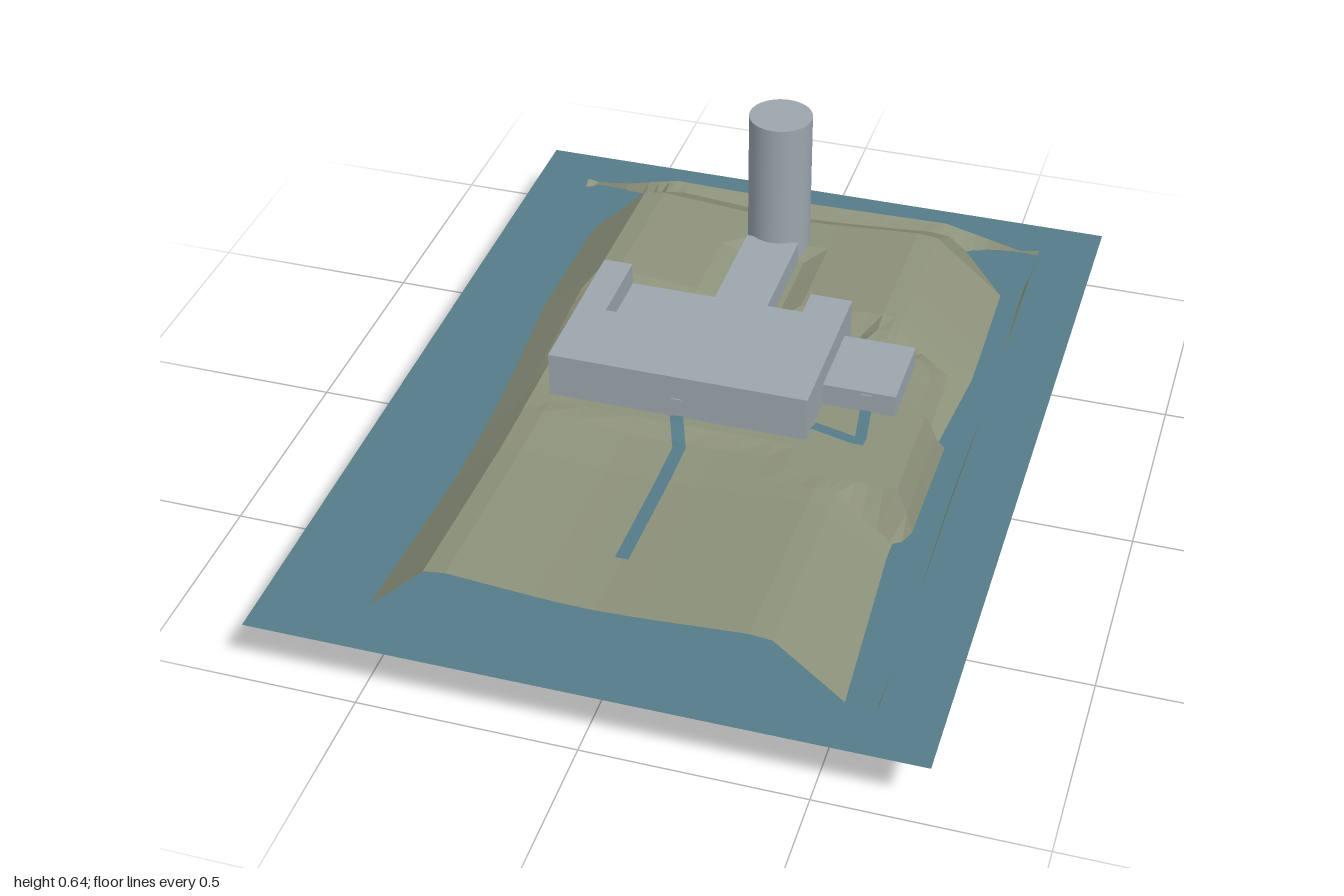
import * as THREE from 'three';

const WATER = 0.168, PAD = 0.28;

// Piecewise linear lookup through [position, value] pairs
function lerpList(list, t) {
  if (t <= list[0][0]) return list[0][1];
  for (let i = 1; i < list.length; i++) {
    const [a, va] = list[i - 1], [b, vb] = list[i];
    if (t <= b) return va + (vb - va) * (t - a) / (b - a);
  }
  return list[list.length - 1][1];
}

// Height along the length, and the cross profile added to it
const along = [[-0.83, 0.01], [-0.66, 0.113], [-0.3, 0.118], [0, 0.095], [0.2, 0.085], [0.4, 0.082], [0.865, 0.102]];
const across = [[-0.58, 0], [-0.38, 0.193], [-0.33, 0.2], [-0.1, 0.182], [0, 0.18],
  [0.1, 0.184], [0.33, 0.2], [0.38, 0.195], [0.58, 0.028]];

// Levelled ground under the buildings: x0, x1, z0, z1
const pads = [[-0.36, 0.29, -0.24, 0.21], [0.25, 0.44, -0.19, 0.06], [0.25, 0.505, 0.02, 0.3], [-0.08, 0.08, -0.5, 0]];

function ground(x, z) {
  let y = lerpList(along, z) + lerpList(across, x);
  let mask = 0;
  for (const [x0, x1, z0, z1] of pads) {
    const d = Math.max(x0 - x, x - x1, z0 - z, z - z1, 0);
    mask = Math.max(mask, 1 - d / 0.05);
  }
  return y + (PAD - y) * mask;
}

function buildTerrain() {
  const xs = [-0.608, -0.58, -0.5, -0.44, -0.41, -0.38, -0.36, -0.33, -0.25, -0.13, -0.08, 0, 0.08, 0.13, 0.2, 0.25,
    0.29, 0.33, 0.36, 0.38, 0.41, 0.44, 0.475, 0.505, 0.53, 0.555, 0.58, 0.605];
  const zs = [-0.868, -0.83, -0.75, -0.66, -0.55, -0.5, -0.4, -0.29, -0.24, -0.19, -0.13, -0.08, -0.03, 0.02, 0.06,
    0.11, 0.16, 0.21, 0.26, 0.3, 0.35, 0.4, 0.5, 0.6, 0.7, 0.78, 0.865];
  const nx = xs.length, nz = zs.length, pos = [], idx = [];
  zs.forEach((z, i) => xs.forEach((x, j) => {
    let y = ground(x, z);
    // Upturned lips on the two sides and the back
    if (j === 0) y = 0.161 + 0.004 * Math.sin(z * 9);
    if (j === nx - 1) y = 0.172 + 0.007 * Math.sin(z * 7 + 0.4);
    if (i === 0) y = lerpList([[0, 0.212], [0.36, 0.218], [0.56, 0.17], [0.6, 0.18]], Math.abs(x));
    pos.push(x, y, z);
  }));
  for (let i = 0; i < nz - 1; i++) for (let j = 0; j < nx - 1; j++) {
    const a = i * nx + j, b = a + 1, c = a + nx, d = c + 1;
    idx.push(a, c, b, b, c, d);
  }
  const g = new THREE.BufferGeometry();
  g.setAttribute('position', new THREE.Float32BufferAttribute(pos, 3));
  g.setIndex(idx);
  const flat = g.toNonIndexed();
  flat.computeVertexNormals();
  return flat;
}

// Flat ribbon laid on the ground along [x, z] points
function buildPath(points, width) {
  const pts = [];
  points.forEach(([x, z], i) => {
    if (i === 0) return pts.push([x, z]);
    const [px, pz] = points[i - 1];
    for (let k = 1; k <= 8; k++) pts.push([px + (x - px) * k / 8, pz + (z - pz) * k / 8]);
  });
  const pos = [], idx = [];
  pts.forEach(([x, z], i) => {
    const p = pts[Math.max(i - 1, 0)], n = pts[Math.min(i + 1, pts.length - 1)];
    const dx = n[0] - p[0], dz = n[1] - p[1], s = width / 2 / Math.hypot(dx, dz);
    for (const side of [1, -1]) {
      const vx = x + side * dz * s, vz = z - side * dx * s;
      pos.push(vx, ground(vx, vz) + 0.005, vz);
    }
    if (i) idx.push(2 * i - 2, 2 * i, 2 * i - 1, 2 * i - 1, 2 * i, 2 * i + 1);
  });
  const g = new THREE.BufferGeometry();
  g.setAttribute('position', new THREE.Float32BufferAttribute(pos, 3));
  g.setIndex(idx);
  g.computeVertexNormals();
  return g;
}

export function createModel() {
  const model = new THREE.Group();
  const mat = (name, color, extra = {}) => {
    const m = new THREE.MeshStandardMaterial({ color, ...extra });
    m.name = name;
    return m;
  };
  const land = mat('olive land', 0x8d927b, { side: THREE.DoubleSide, flatShading: true });
  const blue = mat('water blue', 0x557b88, { side: THREE.DoubleSide });
  const stone = mat('grey concrete', 0x9ba6ad);

  const add = (name, geometry, material) => {
    const mesh = new THREE.Mesh(geometry, material);
    mesh.name = name;
    model.add(mesh);
    return mesh;
  };
  const block = (name, x0, x1, y0, y1, z0, z1) =>
    add(name, new THREE.BoxGeometry(x1 - x0, y1 - y0, z1 - z0), stone)
      .position.set((x0 + x1) / 2, (y0 + y1) / 2, (z0 + z1) / 2);

  // Island and surrounding water
  add('terrain', buildTerrain(), land);
  const water = add('water', new THREE.PlaneGeometry(1.49, 2), blue);
  water.rotation.x = -Math.PI / 2;
  water.position.y = WATER;

  // U-shaped main building open to the back
  const u = [[-0.34, -0.185], [0.27, -0.185], [0.27, 0.22], [0.17, 0.22], [0.17, 0.02], [-0.27, 0.02], [-0.27, 0.22], [-0.34, 0.22]];
  const plan = new THREE.Shape(u.map(([x, y]) => new THREE.Vector2(x, y)));
  const main = add('mainBuilding', new THREE.ExtrudeGeometry(plan, { depth: 0.115, bevelEnabled: false }), stone);
  main.rotation.x = -Math.PI / 2;
  main.position.y = 0.275;

  // Low parts, tower and doors
  block('courtyardFloor', -0.27, 0.17, 0.27, 0.335, -0.22, -0.02);
  block('corridor', -0.065, 0.065, 0.27, 0.335, -0.5, -0.22);
  block('annex', 0.27, 0.44, 0.275, 0.335, -0.155, 0.045);
  add('tower', new THREE.CylinderGeometry(0.077, 0.077, 0.38, 40), stone).position.set(0, 0.463, -0.56);
  block('mainDoor', -0.047, -0.023, 0.278, 0.33, 0.183, 0.188);
  block('annexDoor', 0.36, 0.384, 0.278, 0.328, 0.043, 0.048);

  // Footpaths
  add('mainPath', buildPath([[-0.035, 0.187], [0, 0.28], [0, 0.69]], 0.03), blue);
  add('annexPath', buildPath([[0.372, 0.047], [0.388, 0.165], [0.272, 0.135]], 0.026), blue);
  return model;
}
